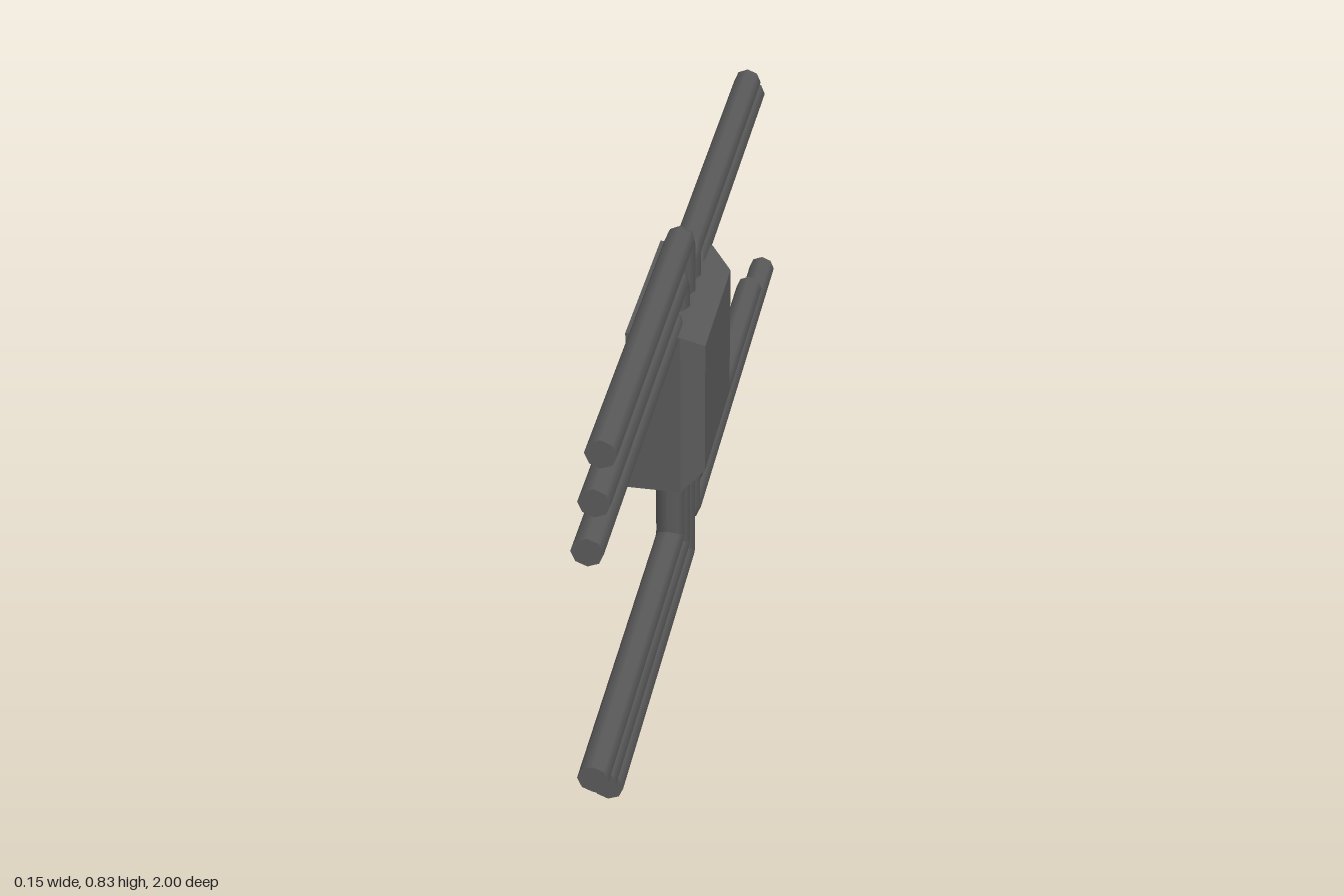
import * as THREE from 'three';
import { ConvexGeometry } from 'three/addons/geometries/ConvexGeometry.js';

const RADIUS = 0.03, BEND = 0.012, SIDES = 8, MID_Y = 0.5;

// Pipe centre line: straight run, tight quarter bend, upright into the housing.
// Each step of u is one ring of the tube, so the straights stay undivided.
class PipePath extends THREE.Curve {
  constructor(end, corner, inner) {
    super();
    const a = end.clone().sub(corner).normalize();
    const b = inner.clone().sub(corner).normalize();
    this.points = [end];
    this.tangents = [a.clone().negate()];
    for (let i = 0; i <= 4; i++) {
      const t = (i / 4) * Math.PI / 2, s = Math.sin(t), c = Math.cos(t);
      this.points.push(corner.clone().addScaledVector(a, BEND * (1 - s)).addScaledVector(b, BEND * (1 - c)));
      this.tangents.push(a.clone().multiplyScalar(-c).addScaledVector(b, s).normalize());
    }
    this.points.push(inner);
    this.tangents.push(b);
    this.steps = this.points.length - 1;
  }
  getPointAt(u, target = new THREE.Vector3()) {
    return target.copy(this.points[Math.round(u * this.steps)]);
  }
  getTangentAt(u, target = new THREE.Vector3()) {
    return target.copy(this.tangents[Math.round(u * this.steps)]);
  }
}

function makePipe(name, y, endZ, cornerZ, material) {
  const group = new THREE.Group();
  group.name = name;
  const path = new PipePath(
    new THREE.Vector3(0, y, endZ),
    new THREE.Vector3(0, y, cornerZ),
    new THREE.Vector3(0, MID_Y, cornerZ)
  );
  const tube = new THREE.Mesh(new THREE.TubeGeometry(path, path.steps, RADIUS, SIDES, false), material);
  tube.name = 'pipeTube';
  const cap = new THREE.Mesh(new THREE.CircleGeometry(RADIUS, SIDES), material);
  cap.name = 'pipeEnd';
  cap.position.set(0, y, endZ);
  if (endZ < 0) cap.rotation.y = Math.PI;
  group.add(tube, cap);
  return group;
}

export function createModel() {
  const model = new THREE.Group();
  model.name = 'pipeManifold';
  const darkGrey = new THREE.MeshStandardMaterial({ color: 0x5a5a5a });
  darkGrey.name = 'darkGrey';

  // Housing: a block with one bevelled face towards +x
  const corners = [];
  for (const [x, half, halfZ] of [[-0.077, 0.185, 0.185], [0.033, 0.185, 0.185], [0.077, 0.15, 0.15]]) {
    for (const sy of [-1, 1]) for (const sz of [-1, 1]) {
      corners.push(new THREE.Vector3(x, 0.498 + sy * half, 0.1 + sz * halfZ));
    }
  }
  const housing = new THREE.Mesh(new ConvexGeometry(corners), darkGrey);
  housing.name = 'housing';
  model.add(housing);

  // Pipes: name, height, z of the open end, z of the upright
  const pipes = [
    ['upperFrontPipeOuter', 0.801, 0.875, 0.1],
    ['upperFrontPipeMiddle', 0.739, 0.937, 0.162],
    ['upperFrontPipeInner', 0.678, 1, 0.224],
    ['upperBackPipeOuter', 0.739, -0.735, 0.038],
    ['upperBackPipeInner', 0.678, -0.8, -0.022],
    ['lowerFrontPipeOuter', 0.031, 0.875, 0.1],
    ['lowerFrontPipeMiddle', 0.095, 0.937, 0.162],
    ['lowerFrontPipeInner', 0.157, 1, 0.224],
    ['lowerBackPipeOuter', 0.097, -1, 0.038],
    ['lowerBackPipeInner', 0.157, -0.8, -0.022],
  ];
  for (const [name, y, endZ, cornerZ] of pipes) model.add(makePipe(name, y, endZ, cornerZ, darkGrey));

  return model;
}
